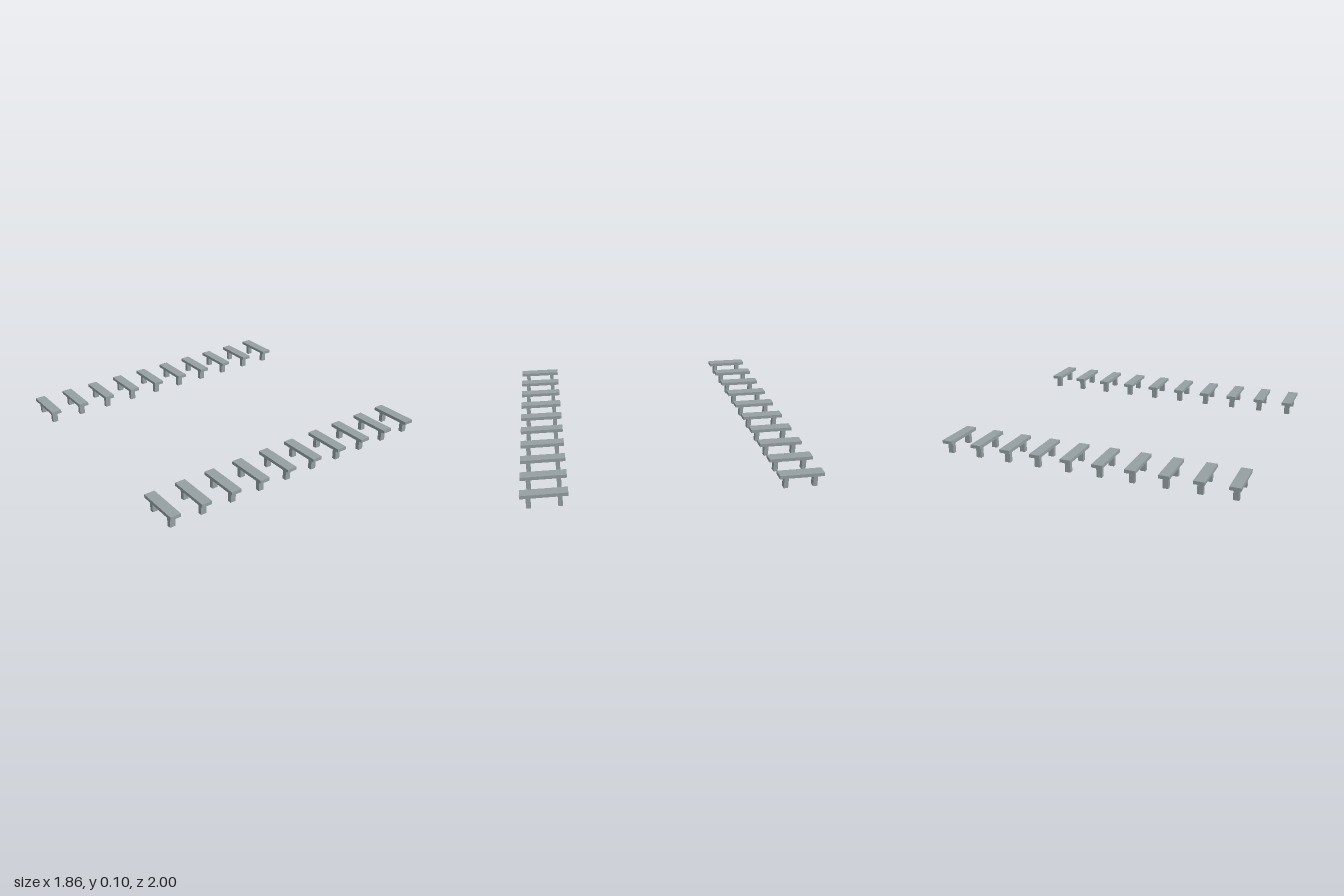
import * as THREE from 'three';

export function createModel() {
  const model = new THREE.Group();
  model.name = 'benchRows';

  const stone = new THREE.MeshStandardMaterial({ color: 0x95a0a3 });
  stone.name = 'grey stone';

  const seatHeight = 0.098, seatThickness = 0.022;
  const legHeight = seatHeight - seatThickness;
  const seatGeometry = new THREE.BoxGeometry(0.287, seatThickness, 0.07);
  const legGeometry = new THREE.BoxGeometry(0.028, legHeight, 0.037);

  // One bench: a slab seat on two block legs
  function makeBench() {
    const bench = new THREE.Group();
    bench.name = 'bench';
    const seat = new THREE.Mesh(seatGeometry, stone);
    seat.name = 'seat';
    seat.position.y = seatHeight - seatThickness / 2;
    bench.add(seat);
    for (const side of [-1, 1]) {
      const leg = new THREE.Mesh(legGeometry, stone);
      leg.name = side > 0 ? 'leftLeg' : 'rightLeg';
      leg.position.set(side * 0.094, legHeight / 2, 0);
      bench.add(leg);
    }
    return bench;
  }

  // Two facing rows of ten benches, with an open aisle between
  const count = 10, endZ = 0.965;
  for (const side of [-1, 1]) {
    const row = new THREE.Group();
    row.name = side > 0 ? 'leftRow' : 'rightRow';
    row.position.x = side * 0.786;
    for (let i = 0; i < count; i++) {
      const bench = makeBench();
      bench.position.z = -endZ + (2 * endZ * i) / (count - 1);
      row.add(bench);
    }
    model.add(row);
  }
  return model;
}
